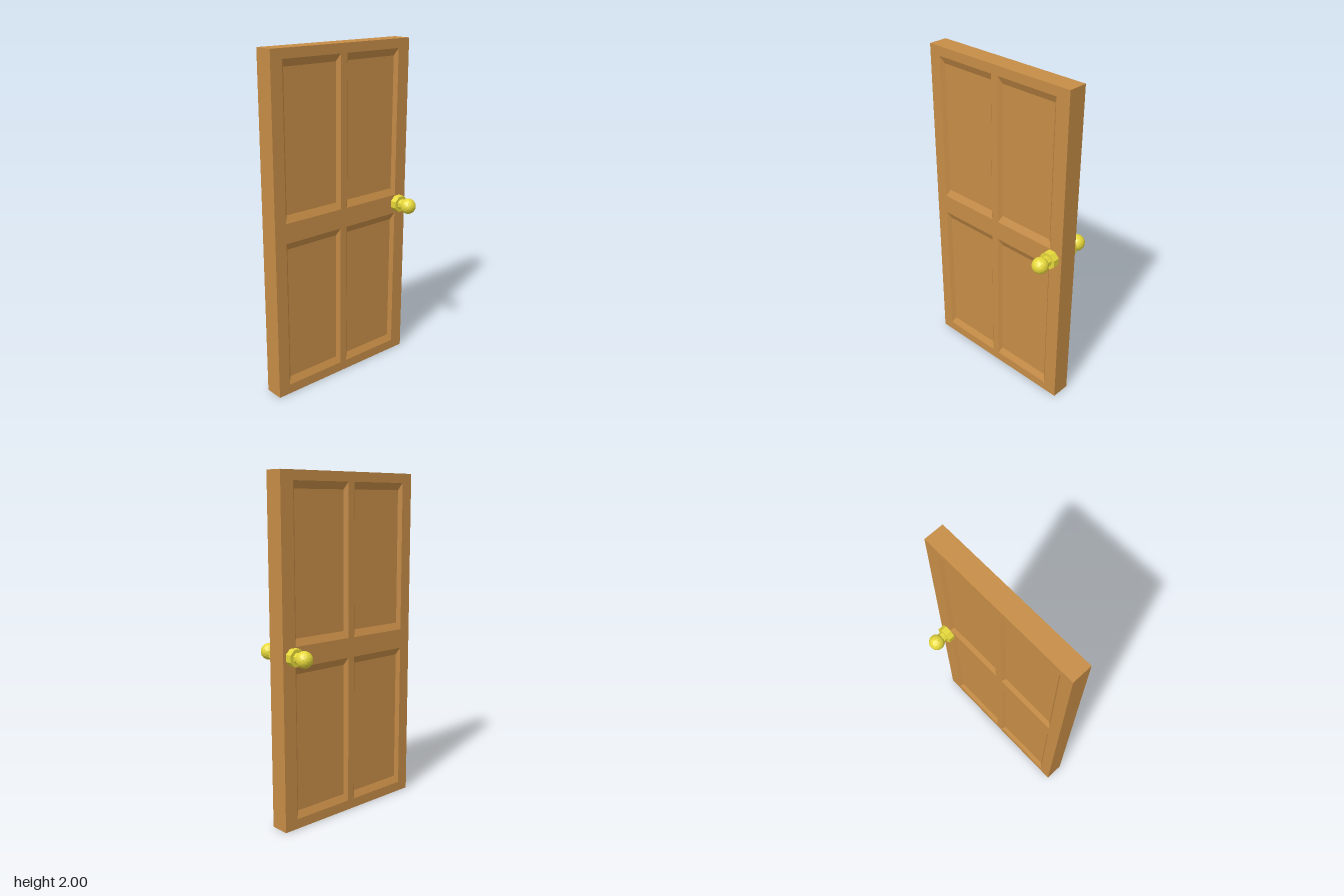
import * as THREE from 'three';
import { mergeGeometries } from 'three/addons/utils/BufferGeometryUtils.js';

const HALF_T = 0.058, DEPTH = 0.019;            // half thickness, panel recess
const OUTLINE = [-0.497, 0, 0.497, 2];          // rectangles: u0, v0, u1, v1
const PANELS = [];
for (const [u0, u1] of [[-0.423, -0.028], [0.018, 0.413]])
  for (const [v0, v1] of [[0.058, 0.943], [1.06, 1.945]]) PANELS.push([u0, v0, u1, v1]);

const corners = ([u0, v0, u1, v1]) => [[u0, v0], [u1, v0], [u1, v1], [u0, v1]];

// Band of four quads joining rectangle a at height wa to rectangle b at height wb
function band(a, wa, b, wb) {
  const A = corners(a), B = corners(b), pos = [];
  for (let i = 0; i < 4; i++) {
    const j = (i + 1) % 4;
    const p = [...A[i], wa], q = [...A[j], wa], r = [...B[j], wb], s = [...B[i], wb];
    pos.push(...p, ...q, ...r, ...p, ...r, ...s);
  }
  const g = new THREE.BufferGeometry();
  g.setAttribute('position', new THREE.Float32BufferAttribute(pos, 3));
  g.computeVertexNormals();
  return g;
}

// Flat sheet at height w, with optional rectangular holes
function sheet(rect, w, holes = []) {
  const toPoints = r => corners(r).map(c => new THREE.Vector2(...c));
  const shape = new THREE.Shape(toPoints(rect));
  holes.forEach(h => shape.holes.push(new THREE.Path(toPoints(h).reverse())));
  const g = new THREE.ShapeGeometry(shape).toNonIndexed();
  g.deleteAttribute('uv');
  return g.translate(0, 0, w);
}

// Turn the drawing plane so that it faces +x
const faceSide = (...parts) => mergeGeometries(parts).rotateY(Math.PI / 2);

export function createModel() {
  const door = new THREE.Group();
  door.name = 'door';
  const wood = new THREE.MeshStandardMaterial({ color: 0xc68c46, flatShading: true });
  const brass = new THREE.MeshStandardMaterial({ color: 0xe6d83a, flatShading: true });

  const add = (parent, name, geometry, material) => {
    const mesh = new THREE.Mesh(geometry, material);
    mesh.name = name;
    parent.add(mesh);
    return mesh;
  };

  for (const side of [1, -1]) {
    const half = new THREE.Group();
    half.name = side > 0 ? 'leftHalf' : 'rightHalf';
    half.scale.x = side;
    door.add(half);

    // Frame: outer edge and face with four openings
    add(half, 'frame', faceSide(
      band(OUTLINE, 0, OUTLINE, HALF_T),
      sheet(OUTLINE, HALF_T, PANELS)), wood);

    // Recessed panels with sloping borders
    for (const p of PANELS) {
      const inner = [p[0] + 0.02, p[1] + 0.042, p[2] - 0.02, p[3] - 0.042];
      add(half, 'panel', faceSide(
        band(p, HALF_T, inner, HALF_T - DEPTH),
        sheet(inner, HALF_T - DEPTH)), wood);
    }

    // Door knob: collar, neck and ball
    const knob = new THREE.Group();
    knob.name = 'knob';
    knob.position.set(0, 1.007, -0.43);
    half.add(knob);
    const rod = (name, apothem, x0, x1) => {
      const r = apothem / Math.cos(Math.PI / 8);
      const g = new THREE.CylinderGeometry(r, r, x1 - x0, 8)
        .rotateY(Math.PI / 8).rotateZ(-Math.PI / 2);
      add(knob, name, g, brass).position.x = (x0 + x1) / 2;
    };
    rod('collar', 0.048, HALF_T, 0.098);
    rod('neck', 0.029, 0.098, 0.125);
    add(knob, 'ball', new THREE.IcosahedronGeometry(0.048, 2), brass).position.x = 0.156;
  }
  return door;
}
